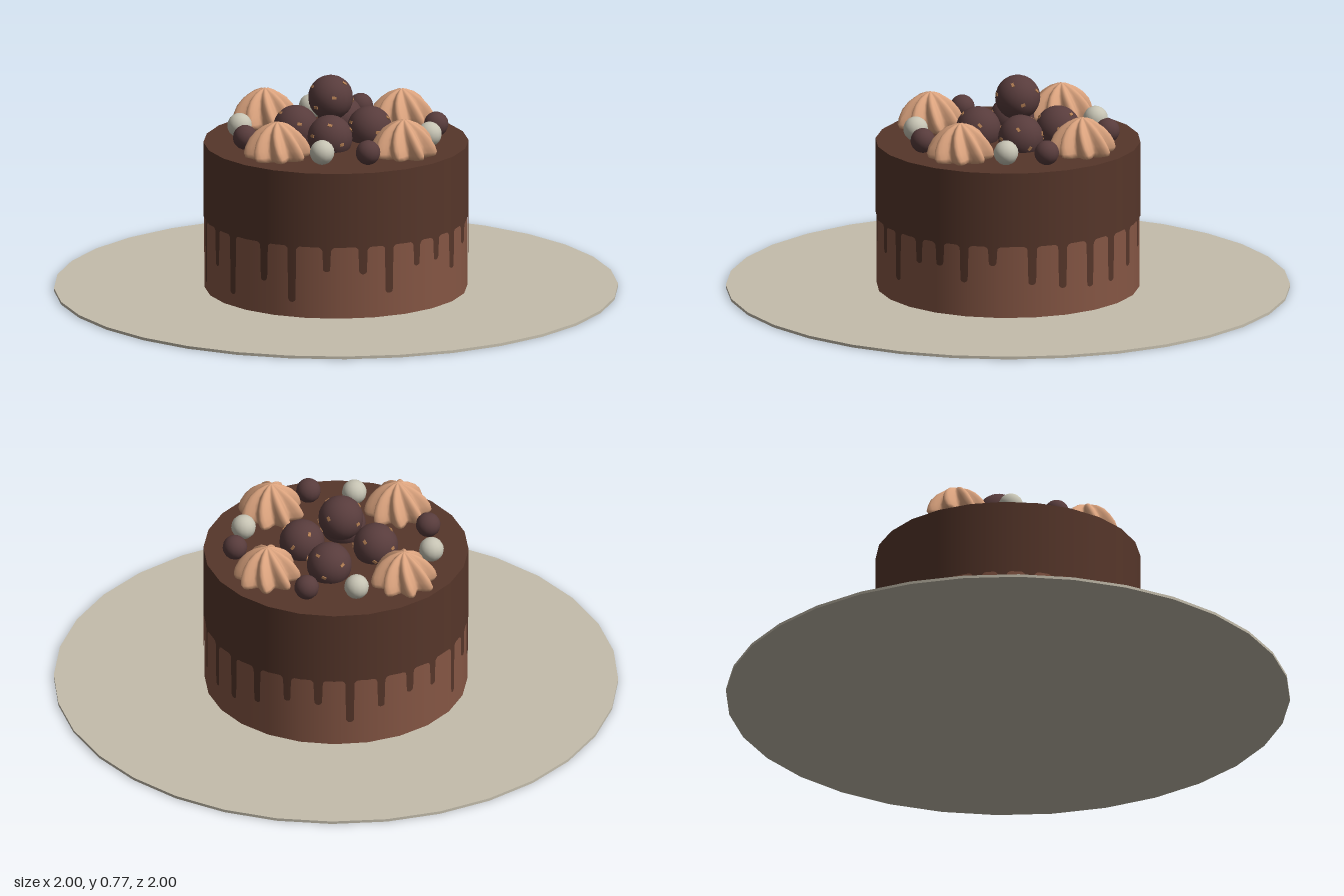
import * as THREE from 'three';

const mat = (name, color, side = THREE.FrontSide) => {
  const m = new THREE.MeshStandardMaterial({ color, side });
  m.name = name;
  return m;
};

const SIDES = 24, R = 0.47, TOP = 0.54, VALLEY = 0.27;

// Drips round the cake: [degrees from the front towards the left, lowest y]
const DRIPS = [
  [-72, 0.08], [-61, 0.18], [-49, 0.13], [-37, 0.045], [-21.3, 0.135], [-8.5, 0.055],
  [9.8, 0.13], [23.5, 0.065], [39, 0.18], [55, 0.17], [67, 0.095], [81, 0.18], [92.3, 0.185],
  [104, 0.135], [116.7, 0.2], [134, 0.13], [148, 0.11], [162, 0.1], [175, 0.1], [189, 0.13],
  [204, 0.17], [218, 0.17], [232, 0.1], [246, 0.15], [260, 0.18], [273, 0.17],
];

// Lower edge of the glaze: rounded drip tips joined by rounded arches
function glazeEdge(angle) {
  const w = 0.015, r = 0.018;
  let y = VALLEY;
  for (const [deg, low] of DRIPS) {
    const diff = angle - THREE.MathUtils.degToRad(deg);
    const d = Math.abs(Math.atan2(Math.sin(diff), Math.cos(diff))) * R;
    if (d <= w) y = Math.min(y, low + w - Math.sqrt(w * w - d * d));
    else if (d < w + r) y = Math.min(y, VALLEY - r + Math.sqrt(r * r - (w + r - d) ** 2));
  }
  return y;
}

// Glaze wall: a strip that follows the many-sided cake
function glazeGeometry() {
  const n = 960, step = (Math.PI * 2) / SIDES, pos = [], nor = [], idx = [];
  for (let i = 0; i <= n; i++) {
    const a = (i / n) * Math.PI * 2;
    const local = (a % step) - step / 2;
    const r = (R * Math.cos(step / 2)) / Math.cos(local);
    const s = Math.sin(a), c = Math.cos(a);
    for (const y of [TOP, glazeEdge(a)]) {
      pos.push(r * s, y, r * c);
      nor.push(s, 0, c);
    }
    if (i < n) {
      const k = i * 2;
      idx.push(k, k + 1, k + 2, k + 1, k + 3, k + 2);
    }
  }
  const g = new THREE.BufferGeometry();
  g.setAttribute('position', new THREE.Float32BufferAttribute(pos, 3));
  g.setAttribute('normal', new THREE.Float32BufferAttribute(nor, 3));
  g.setIndex(idx);
  return g;
}

// Piped cream: a dome pressed into eight twisting ribs
function creamGeometry() {
  const profile = [
    [0.085, 0], [0.112, 0.008], [0.118, 0.022], [0.112, 0.045], [0.098, 0.072],
    [0.076, 0.098], [0.048, 0.118], [0.02, 0.13], [0, 0.133],
  ].map(([x, y]) => new THREE.Vector2(x, y));
  const g = new THREE.LatheGeometry(profile, 64);
  const p = g.attributes.position;
  for (let i = 0; i < p.count; i++) {
    const x = p.getX(i), y = p.getY(i), z = p.getZ(i);
    const k = 0.86 + 0.16 * Math.cos(8 * (Math.atan2(x, z) + y * 2.5));
    p.setXYZ(i, x * k, y, z * k);
  }
  g.computeVertexNormals();
  return g;
}

export function createModel() {
  const group = new THREE.Group();
  const board = mat('board grey', 0xc4bdac);
  const sponge = mat('milk chocolate', 0x855644);
  const glaze = mat('dark chocolate', 0x56362a, THREE.DoubleSide);
  const truffle = mat('truffle brown', 0x583c3c);
  const cream = mat('caramel cream', 0xdba37e, THREE.DoubleSide);
  const pearl = mat('pearl white', 0xc6c3b3);
  const fleck = mat('nut fleck', 0xb07c52);

  const add = (name, geo, material, x = 0, y = 0, z = 0, parent = group) => {
    const m = new THREE.Mesh(geo, material);
    m.name = name;
    m.position.set(x, y, z);
    parent.add(m);
    return m;
  };

  // Board and cake body
  add('cakeBoard', new THREE.CylinderGeometry(1, 1, 0.01, 32), board, 0, 0.005, 0);
  add('cakeSide', new THREE.CylinderGeometry(R - 0.004, R - 0.004, 0.5, SIDES), sponge, 0, 0.26, 0);
  add('dripGlaze', glazeGeometry(), glaze);
  const lid = add('glazeTop', new THREE.CircleGeometry(R, SIDES), glaze, 0, TOP, 0);
  lid.rotation.x = -Math.PI / 2;

  // Truffles with nut flecks
  const ball = new THREE.SphereGeometry(0.08, 20, 14);
  const chip = new THREE.BoxGeometry(0.016, 0.01, 0.006);
  const up = new THREE.Vector3(0, 0, 1);
  [[-0.04, 0.69, -0.015], [-0.11, 0.58, -0.14], [0.07, 0.58, -0.1], [-0.13, 0.58, 0.07], [0.055, 0.58, 0.09]]
    .forEach(([x, y, z], t) => {
      const g = new THREE.Group();
      g.name = 'truffle';
      g.position.set(x, y, z);
      group.add(g);
      add('truffleBall', ball, truffle, 0, 0, 0, g);
      for (let i = 0; i < 7; i++) {
        const a = i * 2.4 + t * 1.3, h = -0.3 + i * 0.17, q = Math.sqrt(1 - h * h);
        const dir = new THREE.Vector3(q * Math.sin(a), h, q * Math.cos(a));
        const c = add('nutFleck', chip, fleck, 0, 0, 0, g);
        c.position.copy(dir).multiplyScalar(0.079);
        c.quaternion.setFromUnitVectors(up, dir);
      }
    });

  // Piped cream swirls
  const swirl = creamGeometry();
  [[0.015, -0.325], [-0.345, 0], [0.32, -0.01], [0.015, 0.32]].forEach(([x, z], i) => {
    add('creamSwirl', swirl, cream, x, TOP, z).rotation.y = i * 0.3;
  });

  // Small chocolate and pearl beads
  const bead = new THREE.SphereGeometry(0.044, 14, 10);
  for (const [x, z] of [[-0.17, -0.31], [0.205, -0.3], [0.305, 0.16], [-0.16, 0.3]])
    add('chocolateBead', bead, truffle, x, 0.582, z);
  for (const [x, z] of [[-0.29, -0.18], [0.285, -0.18], [-0.29, 0.19], [0.185, 0.27]])
    add('pearlBead', bead, pearl, x, 0.582, z);

  return group;
}
